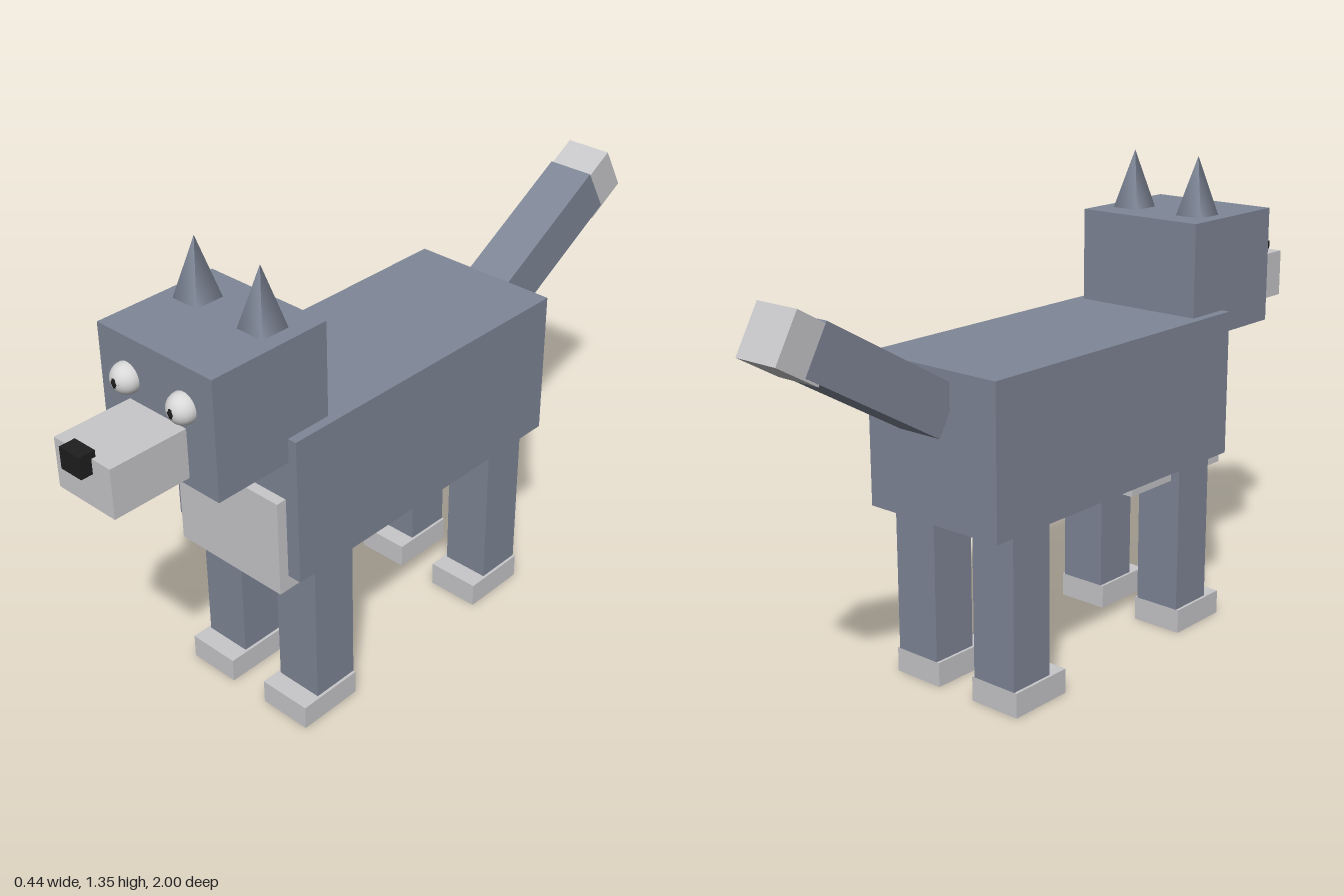
import * as THREE from 'three';

const mat = (name, color) => {
  const m = new THREE.MeshStandardMaterial({ color });
  m.name = name;
  return m;
};

export function createModel() {
  const model = new THREE.Group();
  model.name = 'blockWolf';
  const fur = mat('slate fur', 0x7f8797);
  const pale = mat('pale grey fur', 0xc8c8cb);
  const white = mat('eye white', 0xd8d8d8);
  const black = mat('black', 0x1e1e1e);

  const add = (name, geometry, material, x, y, z, parent = model) => {
    const mesh = new THREE.Mesh(geometry, material);
    mesh.name = name;
    mesh.position.set(x, y, z);
    parent.add(mesh);
    return mesh;
  };
  // Box given by its low and high corners
  const box = (name, material, [x0, y0, z0], [x1, y1, z1]) =>
    add(name, new THREE.BoxGeometry(x1 - x0, y1 - y0, z1 - z0), material,
      (x0 + x1) / 2, (y0 + y1) / 2, (z0 + z1) / 2);

  // Trunk and head
  box('body', fur, [-0.222, 0.5, -0.458], [0.222, 0.917, 0.517]);
  box('chestPatch', pale, [-0.181, 0.457, 0.133], [0.181, 0.734, 0.547]);
  box('head', fur, [-0.196, 0.85, 0.38], [0.196, 1.18, 0.743]);
  box('muzzle', pale, [-0.098, 0.875, 0.7], [0.098, 1.011, 0.967]);
  box('nose', black, [-0.035, 0.97, 0.955], [0.035, 1.029, 1.0]);

  for (const side of [-1, 1]) {
    const label = side > 0 ? 'left' : 'right';

    // Square pyramid ears and round eyes
    const earShape = new THREE.ConeGeometry(0.06, 0.165, 4);
    earShape.rotateY(Math.PI / 4);
    add(label + 'Ear', earShape, fur, side * 0.111, 1.2625, 0.504);
    add(label + 'Eye', new THREE.SphereGeometry(0.041, 24, 16), white, side * 0.098, 1.07, 0.747);
    add(label + 'Pupil', new THREE.SphereGeometry(0.022, 8, 6), black, side * 0.098, 1.07, 0.769);

    // Legs stand on paws that reach forward
    for (const [place, back] of [['Front', 0.313], ['Rear', -0.385]]) {
      const cx = side * 0.139;
      box(label + place + 'Leg', fur, [cx - 0.07, 0.07, back], [cx + 0.07, 0.52, back + 0.139]);
      box(label + place + 'Paw', pale, [cx - 0.078, 0, back], [cx + 0.078, 0.07, back + 0.195]);
    }
  }

  // Tail raised 30 degrees; its local -z axis runs toward the tip
  const tail = new THREE.Group();
  tail.name = 'tail';
  tail.position.set(0, 0.81, -0.46);
  tail.rotation.x = Math.PI / 6;
  add('tailShaft', new THREE.BoxGeometry(0.138, 0.138, 0.482), fur, 0, 0, -0.241, tail);
  add('tailTip', new THREE.BoxGeometry(0.136, 0.138, 0.139), pale, 0, -0.006, -0.505, tail);
  model.add(tail);

  return model;
}
